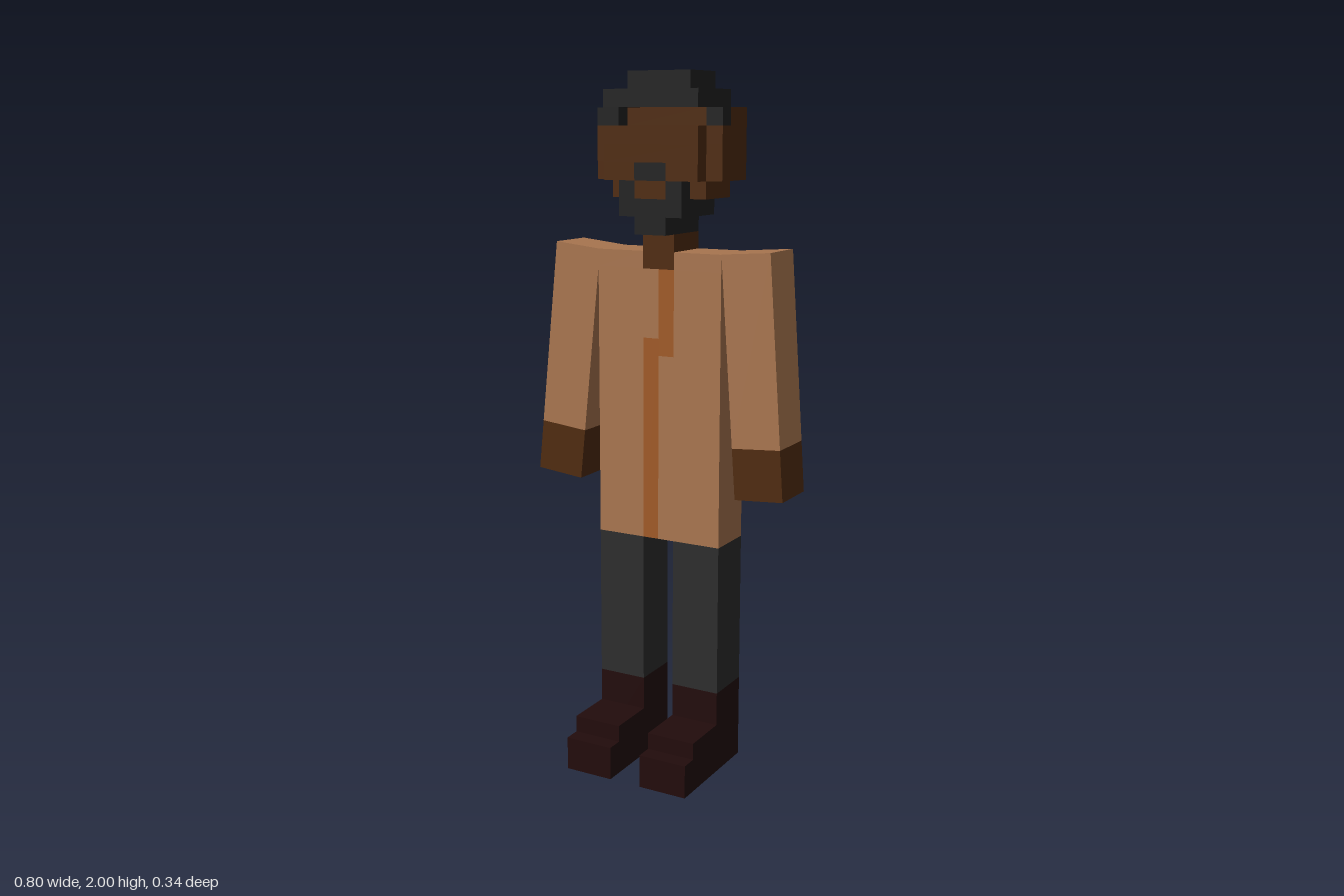
import * as THREE from 'three';

const U = 2 / 41; // edge of one cube of the grid
const paint = (color) => new THREE.MeshStandardMaterial({ color, flatShading: true });
const MAT = {
  S: paint(0x4f2b0f), // skin
  H: paint(0x222222), // hair
  coat: paint(0xa8754f),
  trim: paint(0xa05a28),
  trousers: paint(0x2d2d2d),
  boots: paint(0x220c0c),
};

// Box between grid corners: x 0..8, y 0..41, z 0..7 (back to front)
function block(parent, name, mat, [x0, x1], [y0, y1], [z0, z1]) {
  const geo = new THREE.BoxGeometry((x1 - x0) * U, (y1 - y0) * U, (z1 - z0) * U);
  const mesh = new THREE.Mesh(geo, mat);
  mesh.name = name;
  mesh.position.set(((x0 + x1) / 2 - 4) * U + 0.006, ((y0 + y1) / 2) * U, ((z0 + z1) / 2 - 3.5) * U);
  parent.add(mesh);
}

function group(parent, name) {
  const g = new THREE.Group();
  g.name = name;
  parent.add(g);
  return g;
}

// Turns rows of letters (top row first) into blocks, one per run of equal letters
function slab(parent, top, zRange, rows) {
  rows.forEach((row, i) => {
    for (const run of row.matchAll(/S+|H+/g)) {
      const key = run[0][0];
      block(parent, key === 'S' ? 'face' : 'hair', MAT[key],
        [run.index, run.index + run[0].length], [top - i, top - i + 1], zRange);
    }
  });
}

// Straight sleeve and hand, hung from the shoulder's inner top corner
function arm(parent, name, side, x, y, angle) {
  const g = group(parent, name);
  g.position.set(x, y, -2 * U);
  g.rotation.z = side * angle;
  for (const [part, mat, top, len] of [['sleeve', MAT.coat, 0, 11], ['hand', MAT.S, 11, 3]]) {
    const mesh = new THREE.Mesh(new THREE.BoxGeometry(3 * U, len * U, 3 * U), mat);
    mesh.name = part;
    mesh.position.set(side * 1.5 * U, -(top + len / 2) * U, 0);
    g.add(mesh);
  }
}

export function createModel() {
  const model = new THREE.Group();
  model.name = 'figure';

  // Legs with stepped boots
  for (const [name, x] of [['rightLeg', [0, 3]], ['leftLeg', [5, 8]]]) {
    const leg = group(model, name);
    block(leg, 'trouserLeg', MAT.trousers, x, [5, 14], [0, 3]);
    block(leg, 'bootShaft', MAT.boots, x, [0, 5], [0, 3]);
    block(leg, 'bootFoot', MAT.boots, x, [0, 3], [3, 6]);
    block(leg, 'bootToe', MAT.boots, x, [0, 2], [6, 7]);
  }

  // Coat: back panel, shoulders, and a front pieced around the trim
  const coat = group(model, 'coat');
  block(coat, 'coatBack', MAT.coat, [0, 8], [14, 30], [0, 2]);
  block(coat, 'coatFrontRight', MAT.coat, [0, 3], [14, 30], [2, 3]);
  block(coat, 'coatFrontLeft', MAT.coat, [5, 8], [14, 30], [2, 3]);
  block(coat, 'collarEdge', MAT.coat, [3, 4], [26, 30], [2, 3]);
  block(coat, 'lowerEdge', MAT.coat, [4, 5], [14, 25], [2, 3]);
  block(coat, 'lowerTrim', MAT.trim, [3, 4], [14, 26], [2, 3]);
  block(coat, 'upperTrim', MAT.trim, [4, 5], [25, 30], [2, 3]);
  block(coat, 'rightShoulder', MAT.coat, [0, 3], [30, 31], [0, 3]);
  block(coat, 'leftShoulder', MAT.coat, [5, 8], [30, 31], [0, 3]);

  arm(model, 'leftArm', 1, 0.201, 1.513, 0.072);
  arm(model, 'rightArm', -1, -0.184, 1.512, 0.105);

  // Head, in slabs from back to front
  const head = group(model, 'head');
  block(head, 'neck', MAT.S, [3, 5], [30, 32], [0, 3]);
  slab(head, 40, [0, 3], ['..HHHH..', '.HHHHHH.']);
  slab(head, 38, [0, 2], ['HHSSSSSS']);
  slab(head, 38, [2, 3], ['HHSSSSSH']);
  slab(head, 37, [0, 3], ['SSSSSSSS', 'SSSSSSSS', 'SSSHHSSS', '.SHSSHS.', '..HHHH..', '...HH...']);
  slab(head, 39, [3, 4], [
    '.HHHHHH.',
    '.H......',
    '.SSSSSS.',
    '.SSSSSS.',
    '.SSHHSS.',
    '..HSSH..',
    '..HHHH..',
    '...HH...',
  ]);
  return model;
}
